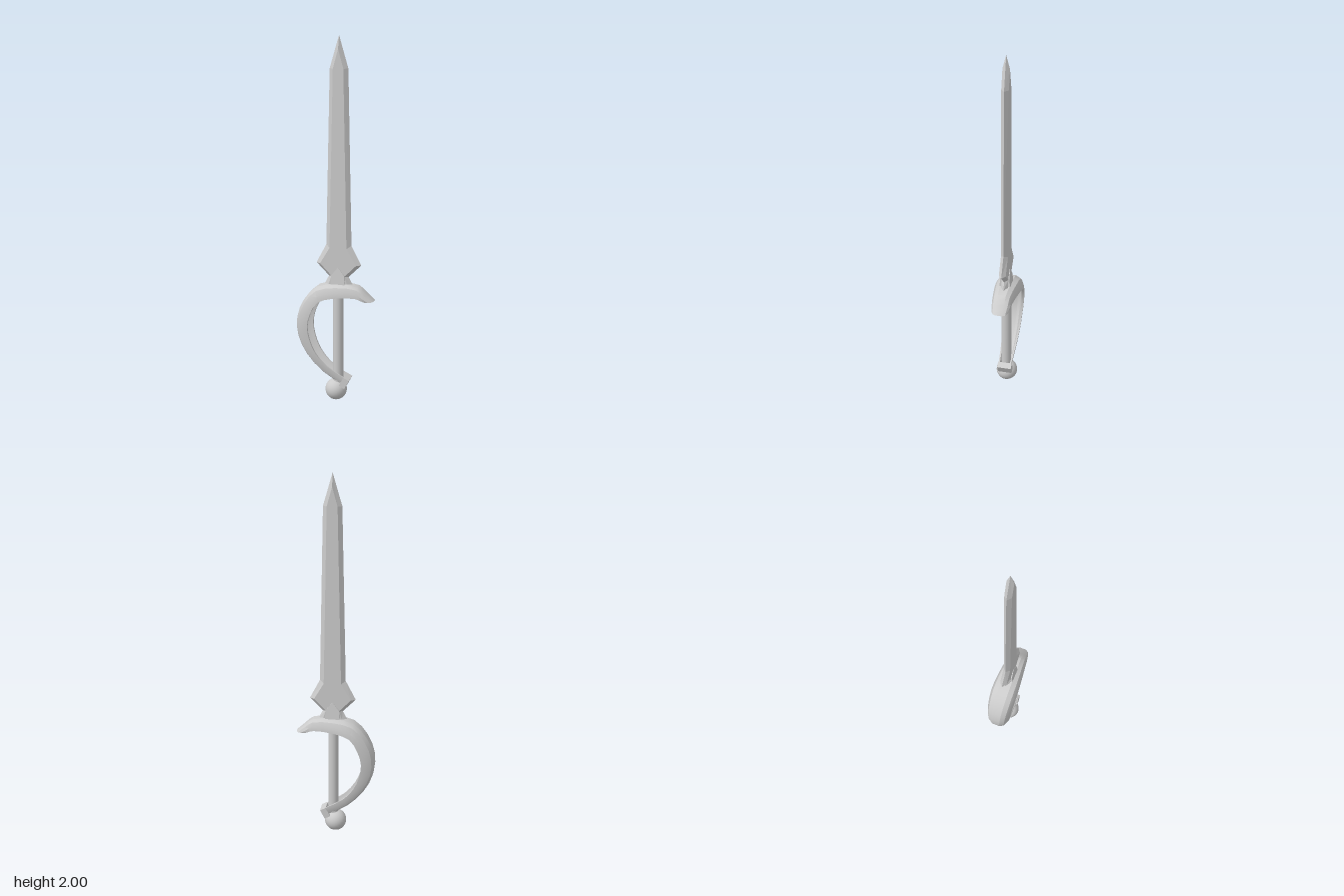
import * as THREE from 'three';
import { toCreasedNormals } from 'three/addons/utils/BufferGeometryUtils.js';

const AXIS = 0.015; // x of the blade's centre line

function makeMesh(name, geometry, flat = false) {
  const mesh = new THREE.Mesh(geometry, new THREE.MeshStandardMaterial({ color: 0xcccccc, flatShading: flat }));
  mesh.name = name;
  return mesh;
}

function fromTriangles(triangles) {
  const geo = new THREE.BufferGeometry();
  geo.setAttribute('position', new THREE.Float32BufferAttribute(triangles.flat(2), 3));
  geo.computeVertexNormals();
  return geo;
}

// Mirror a right-hand profile into a closed counter-clockwise loop
function mirrorLoop(half) {
  const right = half.map(([x, y]) => new THREE.Vector2(AXIS + x, y)).reverse();
  const left = half.filter(([x]) => x > 0).map(([x, y]) => new THREE.Vector2(AXIS - x, y));
  return [...right, ...left];
}

// Blade: sharp outline at z = 0, bevelled up to a flat face on each side
function bladeGeometry() {
  const edge = mirrorLoop([[0, 2], [0.05, 1.83], [0.07, 0.89], [0.125, 0.785], [0.055, 0.715], [0.078, 0.672]]);
  const face = mirrorLoop([[0, 1.93], [0.028, 1.83], [0.047, 0.875], [0.1, 0.785], [0.036, 0.72], [0.052, 0.672]]);
  const faces = THREE.ShapeUtils.triangulateShape(face, []);
  const tris = [];
  for (const side of [1, -1]) {
    const add = (a, b, c) => tris.push(side > 0 ? [a, b, c] : [a, c, b]);
    const E = edge.map((p) => [p.x, p.y, 0]);
    const F = face.map((p) => [p.x, p.y, side * 0.019]);
    E.forEach((e, i) => {
      const j = (i + 1) % E.length;
      add(e, E[j], F[j]);
      add(e, F[j], F[i]);
    });
    faces.forEach(([a, b, c]) => add(F[a], F[b], F[c]));
  }
  return fromTriangles(tris);
}

// Guard: hollow arched channel; its section is swept between outer and inner curves
function guardGeometry() {
  // outer x, outer y, rim x, rim y, half width
  const stations = [
    [0.213, 0.592, 0.168, 0.592, 0.045],
    [0.17, 0.63, 0.145, 0.602, 0.052],
    [0.125, 0.667, 0.115, 0.612, 0.056],
    [0.01, 0.677, 0.0, 0.607, 0.07],
    [-0.1, 0.655, -0.085, 0.578, 0.075],
    [-0.175, 0.575, -0.13, 0.505, 0.071],
    [-0.215, 0.47, -0.148, 0.43, 0.065],
    [-0.21, 0.36, -0.138, 0.355, 0.058],
    [-0.16, 0.255, -0.105, 0.275, 0.052],
    [-0.07, 0.16, -0.045, 0.205, 0.044],
    [0.04, 0.095, 0.06, 0.14, 0.036],
  ];
  const curve = (f) => new THREE.CatmullRomCurve3(stations.map(f), false, 'centripetal');
  const outer = curve((s) => new THREE.Vector3(s[0], s[1], s[4]));
  const rim = curve((s) => new THREE.Vector3(s[2], s[3], s[4]));
  // section points: fraction of half width, fraction from rim to outer curve
  const shell = [[1, 0], [0.97, 0.4], [0.77, 0.8], [0.4, 1], [-0.4, 1], [-0.77, 0.8], [-0.97, 0.4], [-1, 0]];
  const hollow = [[0.8, 0], [0.74, 0.32], [0.58, 0.6], [0.3, 0.75], [-0.3, 0.75], [-0.58, 0.6], [-0.74, 0.32], [-0.8, 0]];
  const M = shell.length;
  const loop = [...shell, ...hollow.slice().reverse()];
  const steps = (stations.length - 1) * 2;
  const rings = [];
  for (let k = 0; k <= steps; k++) {
    const o = outer.getPoint(k / steps);
    const r = rim.getPoint(k / steps);
    rings.push(loop.map(([s, t]) => [r.x + (o.x - r.x) * t, r.y + (o.y - r.y) * t, s * o.z]));
  }
  const tris = [];
  const quad = (a, b, c, d) => tris.push([a, b, c], [a, c, d]);
  for (let k = 0; k < steps; k++) {
    loop.forEach((_, i) => {
      const j = (i + 1) % loop.length;
      quad(rings[k][i], rings[k][j], rings[k + 1][j], rings[k + 1][i]);
    });
  }
  // close both ends between shell and hollow
  const first = rings[0], last = rings[steps], n = loop.length - 1;
  for (let i = 0; i < M - 1; i++) {
    quad(first[i], first[n - i], first[n - i - 1], first[i + 1]);
    quad(last[i], last[i + 1], last[n - i - 1], last[n - i]);
  }
  return toCreasedNormals(fromTriangles(tris), 0.45);
}

// Collar: pointed plate around the blade root, thicker towards the guard
function collarGeometry() {
  const shape = new THREE.Shape(mirrorLoop([[0, 0.77], [0.036, 0.725], [0.041, 0.655]]));
  const geo = new THREE.ExtrudeGeometry(shape, { depth: 2, bevelEnabled: false });
  geo.translate(0, 0, -1);
  const p = geo.attributes.position;
  for (let i = 0; i < p.count; i++) {
    const half = THREE.MathUtils.mapLinear(p.getY(i), 0.655, 0.77, 0.032, 0.021);
    p.setZ(i, p.getZ(i) * half);
  }
  geo.computeVertexNormals();
  return geo;
}

export function createModel() {
  const sword = new THREE.Group();
  sword.name = 'sword';

  sword.add(makeMesh('blade', bladeGeometry(), true));
  sword.add(makeMesh('collar', collarGeometry(), true));
  sword.add(makeMesh('guard', guardGeometry()));

  const grip = makeMesh('grip', new THREE.CylinderGeometry(0.028, 0.028, 0.57, 16));
  grip.position.set(0.012, 0.375, 0);
  sword.add(grip);

  // block where the guard meets the grip's foot
  const foot = makeMesh('guardFoot', new THREE.BoxGeometry(0.035, 0.056, 0.08));
  foot.position.set(0.054, 0.112, 0);
  foot.rotation.z = -0.48;
  sword.add(foot);

  const pommel = makeMesh('pommel', new THREE.SphereGeometry(0.06, 24, 16));
  pommel.position.set(0, 0.06, 0);
  sword.add(pommel);

  return sword;
}
